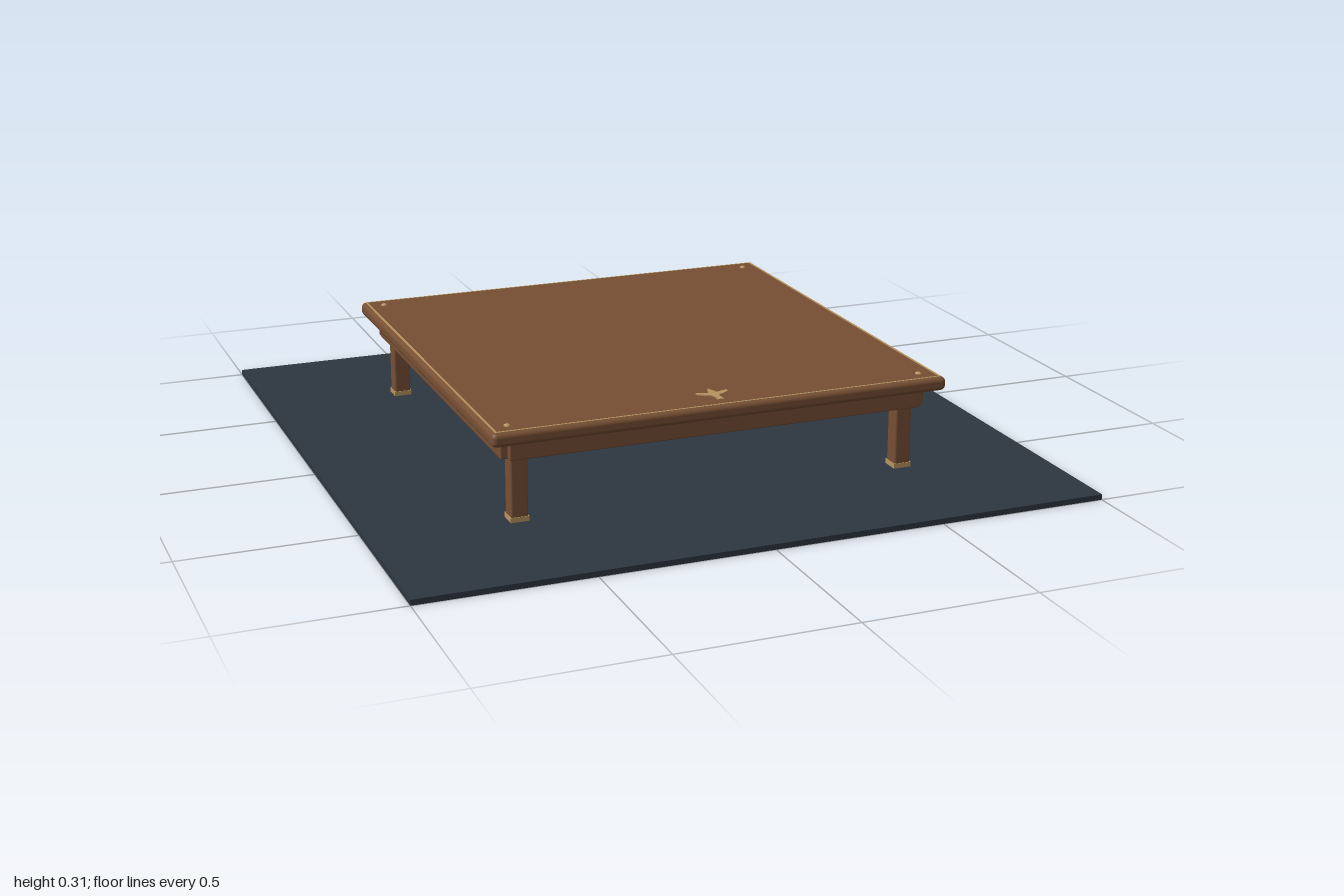
import * as THREE from 'three';
import { RoundedBoxGeometry } from 'three/addons/geometries/RoundedBoxGeometry.js';

export function createModel() {
  const model = new THREE.Group();
  model.name = 'lowTable';

  const material = (name, color) => {
    const m = new THREE.MeshStandardMaterial({ color });
    m.name = name;
    return m;
  };
  const wood = material('walnut wood', 0x774f34);
  const brass = material('brass', 0xb8945f);
  const slate = material('slate floor', 0x2d3641);

  const add = (name, geometry, mat, x, y, z) => {
    const mesh = new THREE.Mesh(geometry, mat);
    mesh.name = name;
    mesh.position.set(x, y, z);
    model.add(mesh);
    return mesh;
  };

  // Floor mat
  add('floorMat', new THREE.BoxGeometry(2, 0.016, 2), slate, 0, 0.008, 0);

  // Table top with rounded edges
  add('tableTop', new RoundedBoxGeometry(1.35, 0.04, 1.35, 3, 0.014), wood, 0, 0.28, 0);

  // Apron boards, stopping short of each other to leave notched corners
  const apron = new RoundedBoxGeometry(1.23, 0.06, 0.03, 2, 0.004);
  for (let i = 0; i < 4; i++) {
    const a = i * Math.PI / 2;
    add('apron', apron, wood, 0.62 * Math.sin(a), 0.235, 0.62 * Math.cos(a)).rotation.y = a;
  }

  // Thin inlay strips round the top
  const strip = new THREE.BoxGeometry(1.326, 0.002, 0.006);
  for (let i = 0; i < 4; i++) {
    const a = i * Math.PI / 2;
    add('inlayStrip', strip, brass, 0.66 * Math.sin(a), 0.3005, 0.66 * Math.cos(a)).rotation.y = a;
  }

  // Legs, brass feet and corner studs
  const leg = new RoundedBoxGeometry(0.05, 0.246, 0.05, 2, 0.006);
  const foot = new THREE.BoxGeometry(0.054, 0.014, 0.054);
  const stud = new THREE.SphereGeometry(0.01, 12, 8);
  for (const sx of [-1, 1]) {
    for (const sz of [-1, 1]) {
      add('leg', leg, wood, sx * 0.58, 0.138, sz * 0.58);
      add('foot', foot, brass, sx * 0.58, 0.024, sz * 0.58);
      add('cornerStud', stud, brass, sx * 0.615, 0.299, sz * 0.615).scale.y = 0.7;
    }
  }

  // Winged ornament set flat near the front edge; half outline, then mirrored
  const half = [
    [0, 0.05], [0.008, 0.03], [0.012, 0.014], [0.047, 0.026], [0.045, 0.012],
    [0.024, -0.002], [0.012, -0.008], [0.007, -0.018], [0.009, -0.046], [0, -0.046],
  ];
  const outline = [...half, ...half.slice(1, -1).reverse().map(([x, y]) => [-x, y])];
  const shape = new THREE.Shape(outline.map(([x, y]) => new THREE.Vector2(x, y)));
  const ornament = new THREE.ExtrudeGeometry(shape, { depth: 0.004, bevelEnabled: false });
  ornament.rotateX(-Math.PI / 2);
  add('ornament', ornament, brass, 0, 0.2995, 0.58);

  return model;
}
